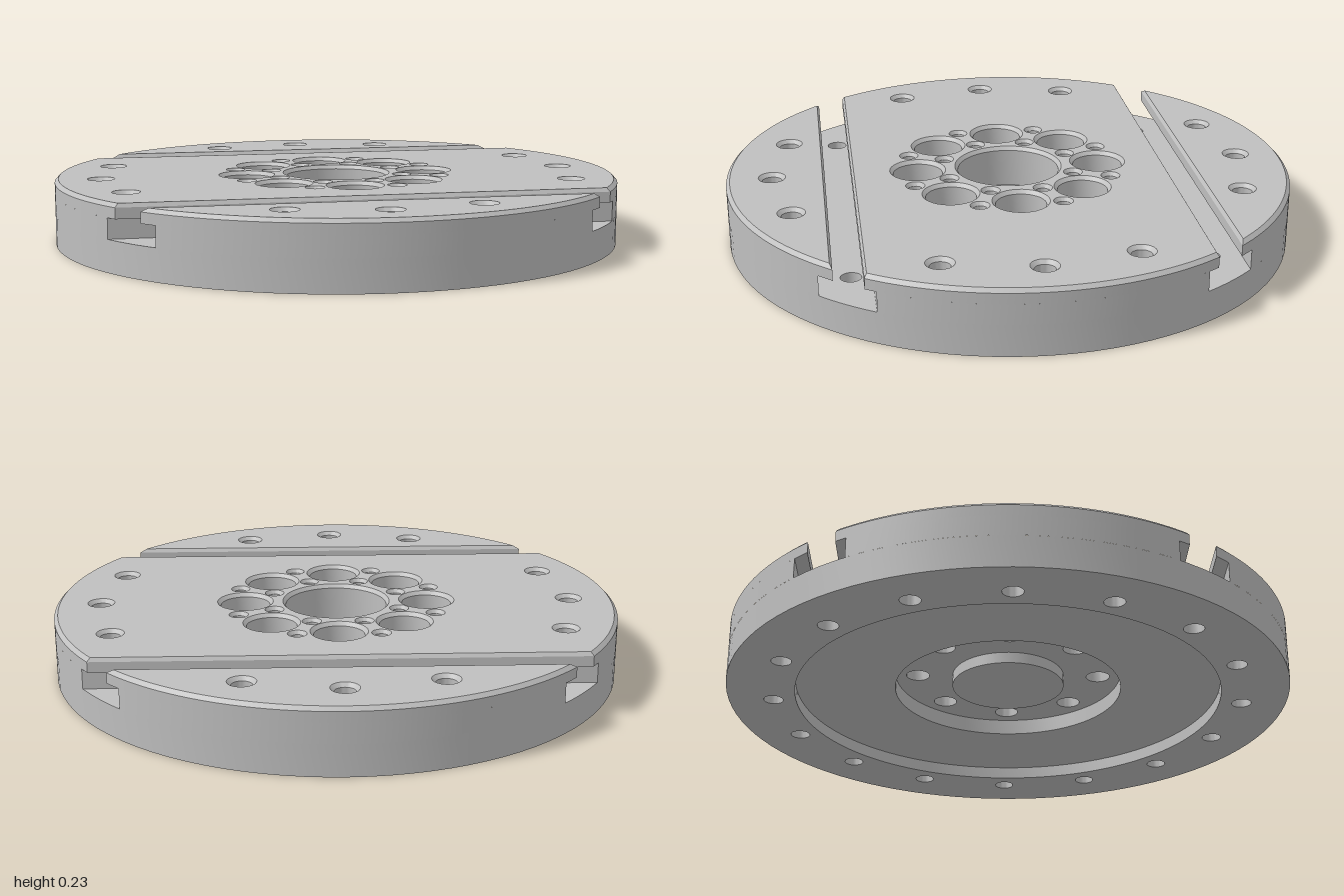
import * as THREE from 'three';
import { mergeGeometries, toCreasedNormals } from 'three/addons/utils/BufferGeometryUtils.js';

const TOP = 0.23, CH = 0.013, EDGE = TOP - CH;        // top face and chamfer
const LIP = 0.18, FLOOR = 0.11;                       // T-slot levels
const NECK = [0.56, 0.655], WIDE = [0.525, 0.7];      // T-slot widths in |z|
const BOSS = 0.06, STEP2 = 0.1, STEP1 = 0.044;        // underside levels

const V = (x, y) => new THREE.Vector2(x, y);

function circle(x, z, r, n = 32) {
  return Array.from({ length: n }, (_, i) => {
    const a = (i / n) * Math.PI * 2;
    return V(x + r * Math.cos(a), z + r * Math.sin(a));
  });
}

// Evenly spaced positions on a bolt circle
function ring(count, r, offset = 0) {
  return Array.from({ length: count }, (_, i) => {
    const a = offset + (i / count) * Math.PI * 2;
    return V(r * Math.cos(a), r * Math.sin(a));
  });
}

// Outline of the part of a disc of radius r lying between z0 and z1
function band(r, z0, z1, n = 48) {
  const angle = z => Math.asin(Math.max(-1, Math.min(1, z / r)));
  const a0 = angle(z0), a1 = angle(z1), pts = [];
  for (let i = 0; i <= n; i++) {
    const a = a0 + ((a1 - a0) * i) / n;
    pts.push(V(r * Math.cos(a), r * Math.sin(a)));
  }
  return pts.concat(pts.map(p => V(-p.x, p.y)).reverse());
}

// Flat face at height y, with holes, facing up or down
function face(outline, holes, y, up) {
  const map = pts => pts.map(p => V(p.x, up ? -p.y : p.y));
  const shape = new THREE.Shape(map(outline));
  holes.forEach(h => shape.holes.push(new THREE.Path(map(h))));
  return new THREE.ShapeGeometry(shape)
    .rotateX(up ? -Math.PI / 2 : Math.PI / 2).translate(0, y, 0);
}

// Outward wall joining two outlines with equal point counts
function wall(low, y0, high, y1) {
  const pos = [];
  low.forEach((p, i) => {
    const j = (i + 1) % low.length, q = low[j], s = high[i], t = high[j];
    pos.push(p.x, y0, p.y, s.x, y1, s.y, q.x, y0, q.y);
    pos.push(q.x, y0, q.y, s.x, y1, s.y, t.x, y1, t.y);
  });
  const g = new THREE.BufferGeometry();
  g.setAttribute('position', new THREE.Float32BufferAttribute(pos, 3));
  return g;
}

function lathe(profile, n = 32) {
  return new THREE.LatheGeometry(profile.map(([r, y]) => V(r, y)), n);
}

export function createModel() {
  const model = new THREE.Group();
  model.name = 'slottedMountingPlate';
  const steel = new THREE.MeshStandardMaterial({ color: 0xbfbfbf });
  steel.name = 'machinedSteel';

  function add(name, geometries) {
    const clean = geometries.map(g => {
      const c = g.index ? g.toNonIndexed() : g;
      c.deleteAttribute('uv');
      c.deleteAttribute('normal');
      return c;
    });
    const mesh = new THREE.Mesh(toCreasedNormals(mergeGeometries(clean), 0.5), steel);
    mesh.name = name;
    model.add(mesh);
  }

  // Hole families: positions and profile from the mouth down
  const rimAll = ring(16, 0.84);
  const inSlot = p => Math.abs(Math.abs(p.x) - Math.abs(p.y)) < 0.01;
  const blind = [[0.034, TOP], [0.025, EDGE], [0.025, 0.13], [0, 0.13]];
  const holes = [
    { name: 'rimHoles', at: rimAll.filter(p => !inSlot(p)), profile: [[0.048, TOP], [0.035, EDGE], [0.035, 0]] },
    { name: 'slotHoles', at: rimAll.filter(inSlot), profile: [[0.035, FLOOR], [0.035, 0]] },
    { name: 'counterboredHoles', at: ring(8, 0.325),
      profile: [[0.1, TOP], [0.088, EDGE], [0.088, 0.14], [0.042, 0.14], [0.042, STEP2]] },
    { name: 'outerTappedHoles', at: ring(8, 0.374, Math.PI / 8), profile: blind },
    { name: 'innerTappedHoles', at: ring(8, 0.239, Math.PI / 8), profile: blind },
    { name: 'centreBore', at: [V(0, 0)], n: 64,
      profile: [[0.191, TOP], [0.18, EDGE], [0.18, 0.08], [0, 0.08]] },
  ];
  for (const h of holes)
    add(h.name, h.at.map(p => lathe(h.profile, h.n).translate(p.x, 0, p.y)));

  const mouths = holes.filter(h => h.name !== 'slotHoles')
    .flatMap(h => h.at.map(p => ({ p, pts: circle(p.x, p.y, h.profile[0][0], h.n) })));

  // Three raised lands separated by the slots
  const c = 0.008;
  const lands = [
    { name: 'middleLand', neck: [-NECK[0], NECK[0]], top: [-NECK[0] + c, NECK[0] - c], wide: [-WIDE[0], WIDE[0]] },
    { name: 'frontLand', neck: [NECK[1], 1], top: [NECK[1] + c, 1], wide: [WIDE[1], 1] },
    { name: 'backLand', neck: [-1, -NECK[1]], top: [-1, -NECK[1] - c], wide: [-1, -WIDE[1]] },
  ];
  for (const { name, neck, top, wide } of lands) {
    const topLine = band(1 - CH, ...top), neckLine = band(1, ...neck), wideLine = band(1, ...wide);
    const own = mouths.filter(m => m.p.y > top[0] && m.p.y < top[1]).map(m => m.pts);
    add(name, [
      face(topLine, own, TOP, true),
      wall(neckLine, EDGE, topLine, TOP),
      wall(neckLine, LIP, neckLine, EDGE),
      wall(wideLine, FLOOR, wideLine, LIP),
    ]);
  }

  // Slot floors and the undersides of the overhanging lips
  for (const s of [1, -1]) {
    const strip = (a, b) => band(1, Math.min(s * a, s * b), Math.max(s * a, s * b));
    const drilled = rimAll.filter(p => inSlot(p) && p.y * s > 0).map(p => circle(p.x, p.y, 0.035));
    add(s > 0 ? 'frontSlot' : 'backSlot', [
      face(strip(...WIDE), drilled, FLOOR, true),
      face(strip(WIDE[0], NECK[0]), [], LIP, false),
      face(strip(NECK[1], WIDE[1]), [], LIP, false),
    ]);
  }

  // Solid rim below the slots
  add('outerRim', [lathe([[1, 0], [1, FLOOR]], 96)]);

  // Stepped underside with central boss
  add('underside', [
    face(circle(0, 0, 1, 96), [circle(0, 0, 0.76, 96), ...rimAll.map(p => circle(p.x, p.y, 0.035))], 0, false),
    lathe([[0.405, STEP2], [0.405, STEP1], [0.76, STEP1], [0.76, 0]], 96),
    face(circle(0, 0, 0.405, 96),
      [circle(0, 0, 0.2, 96), ...ring(8, 0.325).map(p => circle(p.x, p.y, 0.042))], STEP2, false),
  ]);
  add('centreBoss', [lathe([[0, BOSS], [0.2, BOSS], [0.2, STEP2]], 96)]);

  return model;
}
